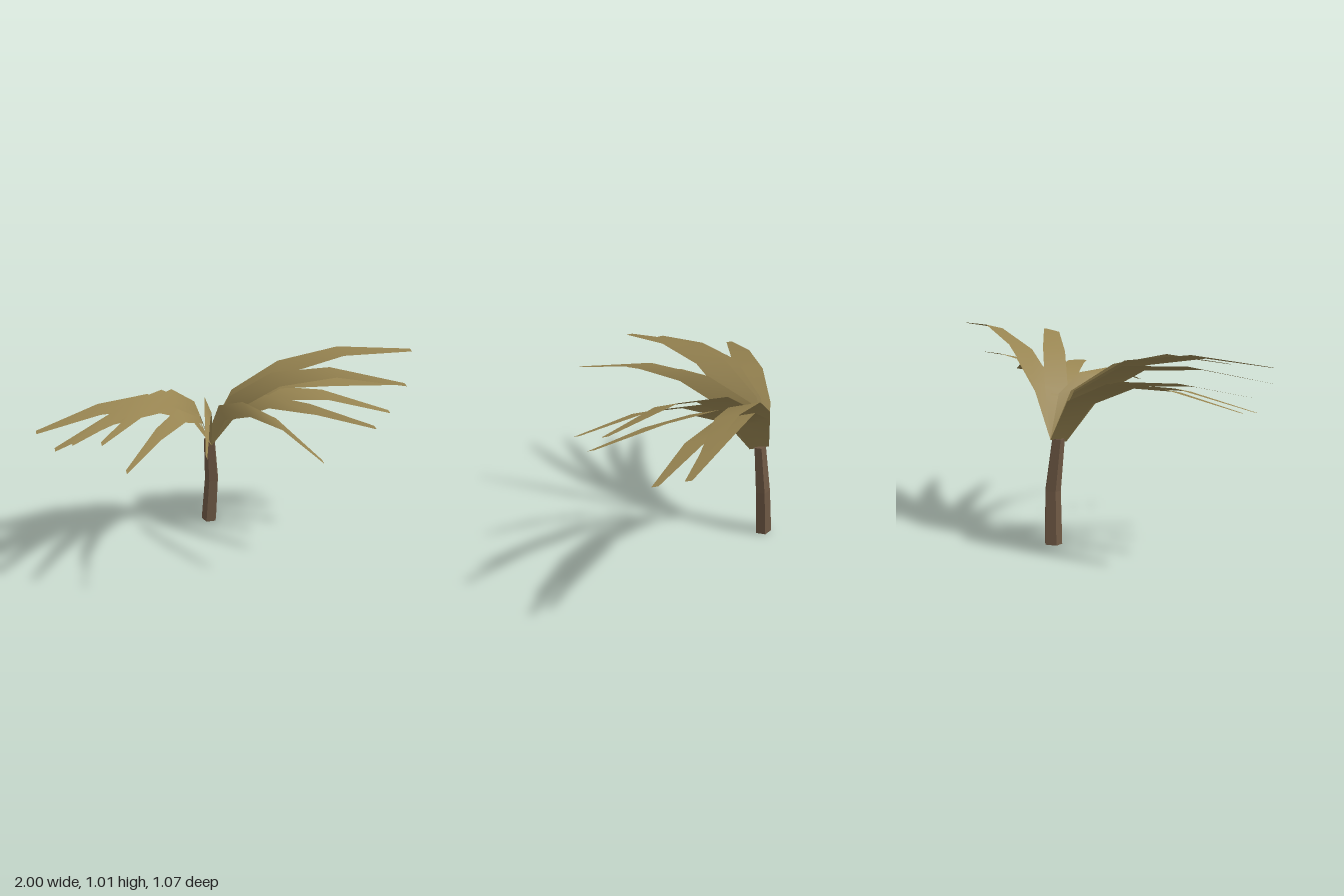
import * as THREE from 'three';

const bark = new THREE.MeshStandardMaterial({ color: 0x6e5844, flatShading: true });
bark.name = 'bark brown';
const frond = new THREE.MeshStandardMaterial({ color: 0x978451, side: THREE.DoubleSide });
frond.name = 'dry frond olive';

const CROWN = new THREE.Vector3(-0.065, 0.5, -0.455);
// all blades are spread along one slightly tilted direction
const ACROSS = new THREE.Vector3(0, 0.22, -0.976);
const STEPS = [0, 0.13, 0.36, 0.65, 1];
const WIDTHS = [0.1, 0.148, 0.148, 0.108, 0.032];

function makeGeometry(points, index) {
  const g = new THREE.BufferGeometry();
  g.setAttribute('position', new THREE.Float32BufferAttribute(points, 3));
  g.setIndex(index);
  g.computeVertexNormals();
  return g;
}

// five-sided trunk lofted through three rings: centre x, y, z and radius
function trunkGeometry() {
  const rings = [
    [-0.063, 0.004, -0.495, 0.045],
    [-0.048, 0.26, -0.481, 0.04],
    [-0.064, 0.51, -0.456, 0.032],
  ];
  const n = 5, points = [], index = [];
  for (const [x, y, z, r] of rings) {
    for (let i = 0; i < n; i++) {
      const a = (i / n) * Math.PI * 2;
      const dz = -Math.cos(a) * r;
      points.push(x - Math.sin(a) * r, y - dz * 0.08, z + dz);
    }
  }
  for (let k = 0; k < rings.length - 1; k++) {
    for (let i = 0; i < n; i++) {
      const a = k * n + i, b = k * n + (i + 1) % n;
      index.push(a, b, b + n, a, b + n, a + n);
    }
  }
  // end caps
  const t = (rings.length - 1) * n;
  for (let i = 1; i < n - 1; i++) index.push(0, i + 1, i, t, t + i, t + i + 1);
  return makeGeometry(points, index);
}

// straight in plan, arching in height, tapering to a blunt tip
function frondGeometry(tipX, tipZ, heights) {
  const points = [], index = [];
  const ys = [CROWN.y, ...heights];
  STEPS.forEach((t, i) => {
    const c = new THREE.Vector3(
      THREE.MathUtils.lerp(CROWN.x, tipX, t), ys[i],
      THREE.MathUtils.lerp(CROWN.z, tipZ, t));
    for (const s of [-0.5, 0.5]) {
      points.push(...c.clone().addScaledVector(ACROSS, s * WIDTHS[i]).toArray());
    }
    if (i > 0) {
      const a = (i - 1) * 2;
      // keep the upper side as the front face on both halves of the crown
      if (tipX > CROWN.x) index.push(a, a + 2, a + 1, a + 1, a + 2, a + 3);
      else index.push(a, a + 1, a + 2, a + 1, a + 3, a + 2);
    }
  });
  return makeGeometry(points, index);
}

export function createModel() {
  const model = new THREE.Group();
  model.name = 'palmTree';

  const trunk = new THREE.Mesh(trunkGeometry(), bark);
  trunk.name = 'trunk';
  model.add(trunk);

  // tip x, tip z, then heights along the arch
  const fronds = [
    [1.0, -0.225, [0.755, 0.915, 1.0, 1.0]],
    [0.91, -0.165, [0.71, 0.845, 0.85, 0.838]],
    [0.8, -0.015, [0.69, 0.8, 0.81, 0.74]],
    [0.78, 0.195, [0.735, 0.9, 0.975, 0.955]],
    [0.588, 0.295, [0.69, 0.8, 0.81, 0.785]],
    [0.275, 0.425, [0.7, 0.78, 0.78, 0.692]],
    [-0.305, 0.51, [0.72, 0.835, 0.872, 0.812]],
    [-0.632, 0.295, [0.685, 0.765, 0.755, 0.688]],
    [-0.738, 0.305, [0.73, 0.868, 0.895, 0.842]],
    [-0.855, 0.14, [0.72, 0.85, 0.855, 0.792]],
    [-0.925, -0.065, [0.69, 0.78, 0.772, 0.69]],
    [-1.0, -0.255, [0.69, 0.785, 0.785, 0.717]],
  ];
  const crown = new THREE.Group();
  crown.name = 'crown';
  fronds.forEach(([x, z, heights], i) => {
    const leaf = new THREE.Mesh(frondGeometry(x, z, heights), frond);
    leaf.name = `frond${i + 1}`;
    crown.add(leaf);
  });
  model.add(crown);
  return model;
}
